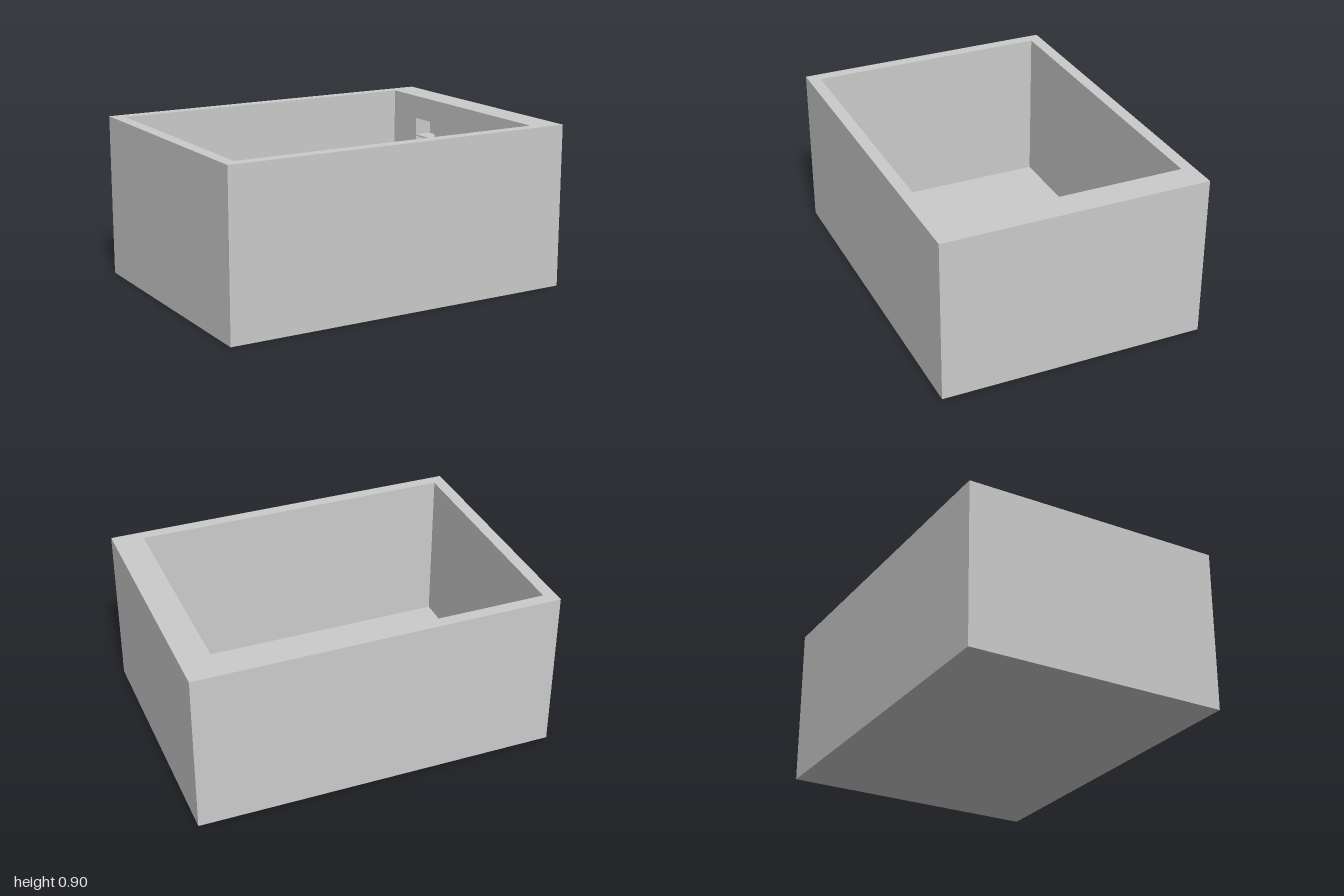
import * as THREE from 'three';

const grey = new THREE.MeshStandardMaterial({ color: 0xcccccc });
const black = new THREE.MeshStandardMaterial({ color: 0x000000 });

const HEIGHT = 0.9, FLOOR = 0.033;
const HALF_X = 1, HALF_Z = 0.732;
const ROOM_LEFT = -0.933, ROOM_RIGHT = 0.833, ROOM_Z = 0.665;
const NICHE_DEPTH = 0.1, NICHE_WIDTH = 0.195, NICHE_TOP = 0.767;
const HEARTH_Z = 0.036;                                   // centre line of the thick wall
const NICHE_Z = [HEARTH_Z - 0.367, HEARTH_Z + 0.367];
const SHELF_TOPS = [0.307, 0.467, 0.577, 0.667];
const SIDES = ['+x', '-x', '+y', '-y', '+z', '-z'];

function addMesh(group, name, geometry, material = grey) {
  const mesh = new THREE.Mesh(geometry, material);
  mesh.name = name;
  group.add(mesh);
}

// Box between two corners without the listed sides; inward turns its faces to the inside
function box(min, max, { open = [], inward = false } = {}) {
  const size = max.map((v, i) => v - min[i]);
  const geometry = new THREE.BoxGeometry(...size);
  geometry.translate(...max.map((v, i) => (v + min[i]) / 2));
  const all = Array.from(geometry.index.array);
  const kept = SIDES.flatMap((side, i) => (open.includes(side) ? [] : all.slice(i * 6, i * 6 + 6)));
  geometry.clearGroups();
  if (inward) {
    kept.reverse();
    const normal = geometry.attributes.normal;
    for (let i = 0; i < normal.count; i++) {
      normal.setXYZ(i, -normal.getX(i), -normal.getY(i), -normal.getZ(i));
    }
  }
  geometry.setIndex(kept);
  return geometry;
}

function rect(Type, x0, x1, halfY) {
  return new Type([[x0, -halfY], [x1, -halfY], [x1, halfY], [x0, halfY]]
    .map(([x, y]) => new THREE.Vector2(x, y)));
}

export function createModel() {
  const room = new THREE.Group();
  room.name = 'room';

  // Outside of the walls and underside
  addMesh(room, 'outerWalls', box([-HALF_X, 0, -HALF_Z], [HALF_X, HEIGHT, HALF_Z], { open: ['+y'] }));

  // Floor and the three plain inner walls
  addMesh(room, 'innerWallsAndFloor', box([ROOM_LEFT, FLOOR, -ROOM_Z], [ROOM_RIGHT, HEIGHT, ROOM_Z],
    { open: ['+x', '+y'], inward: true }));

  // Top of the walls
  const rim = rect(THREE.Shape, -HALF_X, HALF_X, HALF_Z);
  rim.holes.push(rect(THREE.Path, ROOM_LEFT, ROOM_RIGHT, ROOM_Z));
  const rimGeometry = new THREE.ShapeGeometry(rim);
  rimGeometry.rotateX(-Math.PI / 2);
  rimGeometry.translate(0, HEIGHT, 0);
  addMesh(room, 'wallTop', rimGeometry);

  // Face of the thick wall, notched from the floor up for the two niches
  const face = new THREE.Shape();
  face.moveTo(-ROOM_Z, FLOOR);
  for (const z of NICHE_Z) {
    face.lineTo(z - NICHE_WIDTH / 2, FLOOR);
    face.lineTo(z - NICHE_WIDTH / 2, NICHE_TOP);
    face.lineTo(z + NICHE_WIDTH / 2, NICHE_TOP);
    face.lineTo(z + NICHE_WIDTH / 2, FLOOR);
  }
  face.lineTo(ROOM_Z, FLOOR);
  face.lineTo(ROOM_Z, HEIGHT);
  face.lineTo(-ROOM_Z, HEIGHT);
  const faceGeometry = new THREE.ShapeGeometry(face);
  faceGeometry.rotateY(-Math.PI / 2);
  faceGeometry.translate(ROOM_RIGHT, 0, 0);
  addMesh(room, 'nicheWall', faceGeometry);

  // Niches with their shelves
  const thickness = 0.007, back = ROOM_RIGHT + NICHE_DEPTH;
  for (const z of NICHE_Z) {
    const niche = new THREE.Group();
    niche.name = 'niche';
    const z0 = z - NICHE_WIDTH / 2, z1 = z + NICHE_WIDTH / 2;
    addMesh(niche, 'nicheRecess', box([ROOM_RIGHT, FLOOR, z0], [back, NICHE_TOP, z1],
      { open: ['-x'], inward: true }));
    for (const top of SHELF_TOPS) {
      addMesh(niche, 'shelf', box([ROOM_RIGHT, top - thickness, z0], [back, top, z1]));
    }
    room.add(niche);
  }

  // Fireplace block standing between the niches
  addMesh(room, 'fireplace', box([ROOM_RIGHT - 0.105, FLOOR, HEARTH_Z - 0.2],
    [ROOM_RIGHT, 0.435, HEARTH_Z + 0.2], { open: ['+x', '-y'] }), black);

  return room;
}
